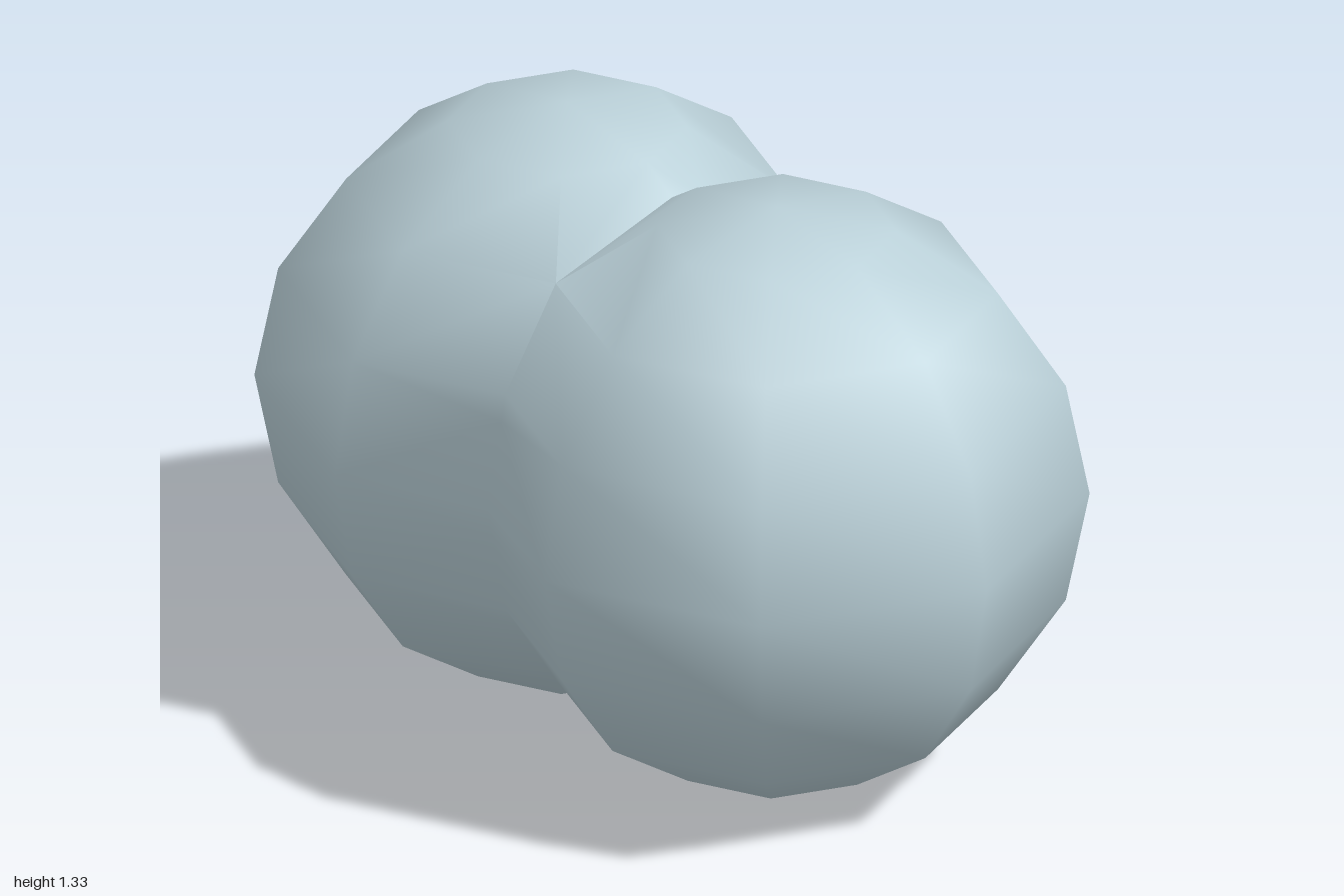
import * as THREE from 'three';
import { toCreasedNormals } from 'three/addons/utils/BufferGeometryUtils.js';

const R = 0.667; // lobe radius
const OFFSET = 0.333; // lobe centre distance from the seam

// Keep the part of a triangle with z >= 0
function clipAtSeam(tri) {
  const out = [];
  tri.forEach((a, i) => {
    const b = tri[(i + 1) % 3];
    if (a.z >= 0) out.push(a);
    if ((a.z >= 0) !== (b.z >= 0)) {
      // always interpolate from the inner end so shared edges match exactly
      const [p, q] = a.z >= 0 ? [a, b] : [b, a];
      const cut = p.clone().lerp(q, p.z / (p.z - q.z));
      cut.z = 0;
      out.push(cut);
    }
  });
  return out;
}

// Two low-poly spheres fused at z = 0, smooth except at the sharp seam
function fusedLobes() {
  const lobe = new THREE.SphereGeometry(R, 8, 8).translate(0, R, OFFSET).toNonIndexed();
  const pos = lobe.attributes.position;
  const points = [];
  for (let i = 0; i < pos.count; i += 3) {
    const tri = [0, 1, 2].map((k) => new THREE.Vector3().fromBufferAttribute(pos, i + k));
    const poly = clipAtSeam(tri);
    for (let k = 1; k + 1 < poly.length; k++) {
      const [a, b, c] = [poly[0], poly[k], poly[k + 1]];
      const area = b.clone().sub(a).cross(c.clone().sub(a)).length();
      if (area < 1e-7) continue;
      points.push(a, b, c);
      // mirrored copy with reversed corner order
      for (const p of [a, c, b]) points.push(new THREE.Vector3(p.x, p.y, -p.z));
    }
  }
  return toCreasedNormals(new THREE.BufferGeometry().setFromPoints(points), 1.05);
}

export function createModel() {
  const group = new THREE.Group();
  group.name = 'doubleSphere';
  const paleBlue = new THREE.MeshStandardMaterial({ color: 0xbad0d8 });
  paleBlue.name = 'pale blue';
  const body = new THREE.Mesh(fusedLobes(), paleBlue);
  body.name = 'fusedLobes';
  group.add(body);
  return group;
}
